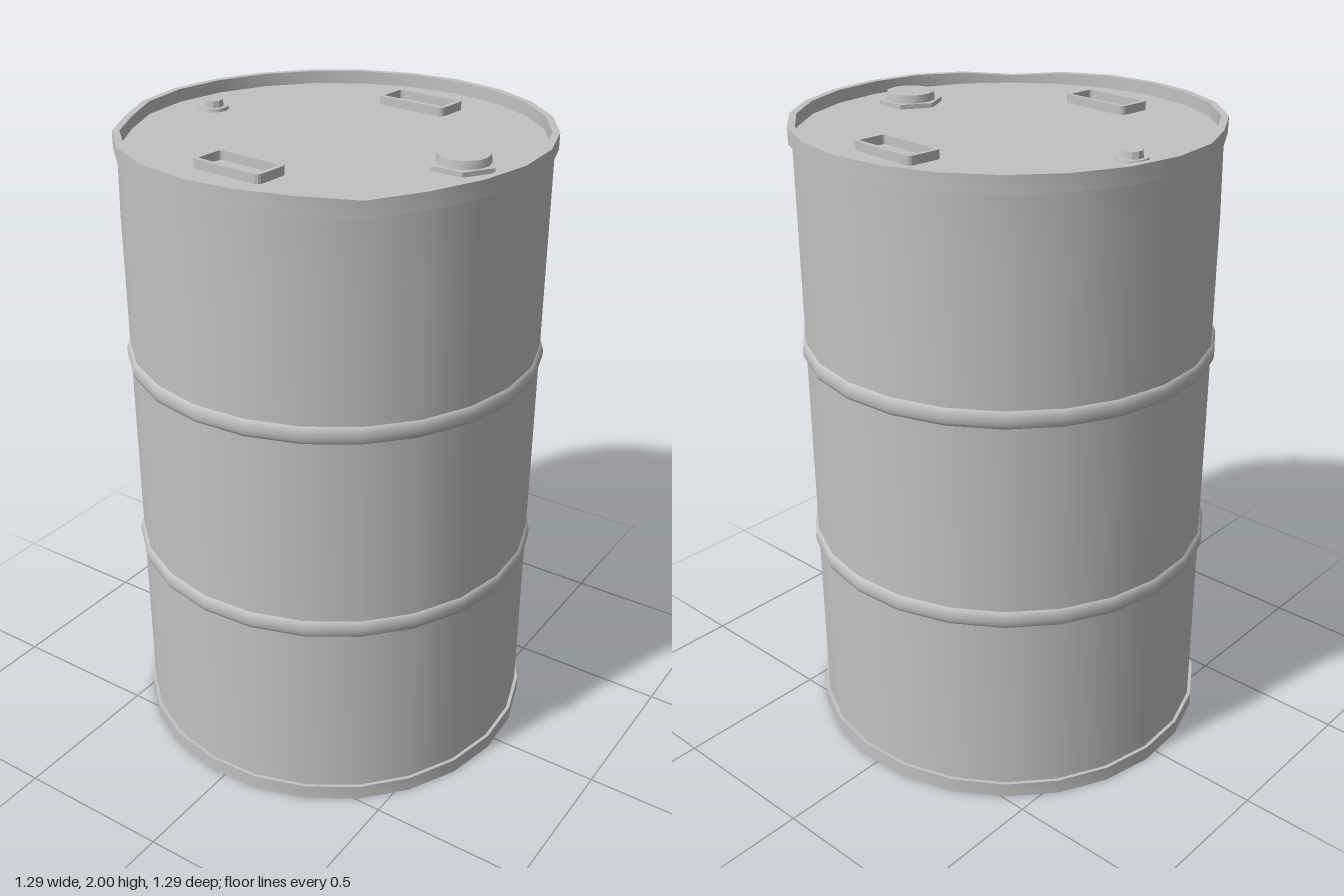
import * as THREE from 'three';
import { toCreasedNormals } from 'three/addons/utils/BufferGeometryUtils.js';

const SIDES = 24;
const START = THREE.MathUtils.degToRad(10.5);
const LID_Y = 1.96;

export function createModel() {
  const drum = new THREE.Group();
  drum.name = 'drum';
  const steel = new THREE.MeshStandardMaterial({ color: 0xc2c2c2 });
  steel.name = 'grey steel';

  function add(parent, name, geometry) {
    const mesh = new THREE.Mesh(geometry, steel);
    mesh.name = name;
    parent.add(mesh);
    return mesh;
  }

  // Profiles run counter-clockwise: up the outside, down the inside
  function lathe(profile) {
    const points = profile.map(([r, y]) => new THREE.Vector2(r, y));
    return new THREE.LatheGeometry(points, SIDES, START);
  }

  // Two knocks in the upper rim: one pushed down, one pushed in
  function dent(geometry) {
    const p = geometry.attributes.position;
    const knock = (angle, centre) => {
      const d = (angle - THREE.MathUtils.degToRad(centre)) / 0.23;
      return Math.exp(-d * d);
    };
    for (let i = 0; i < p.count; i++) {
      const x = p.getX(i), y = p.getY(i), z = p.getZ(i);
      if (y < 1.9) continue;
      const angle = Math.atan2(x, z);
      const inward = 1 - 0.025 * knock(angle, -64.5) - 0.006 * knock(angle, 40.5);
      p.setXYZ(i, x * inward, y - 0.016 * knock(angle, 40.5) - 0.004 * knock(angle, -64.5), z * inward);
    }
    return geometry;
  }

  // Shell and the two rolled hoops
  add(drum, 'shell', toCreasedNormals(dent(lathe([[0.637, 0.04], [0.637, 1.75], [0.637, 1.955]])), 0.6));
  for (const y of [0.657, 1.31]) {
    const hoop = [];
    for (let i = 0; i <= 6; i++) {
      const a = (i / 6) * Math.PI;
      hoop.push([0.636 + 0.012 * Math.sin(a), y - 0.028 * Math.cos(a)]);
    }
    add(drum, 'hoop', lathe(hoop));
  }

  // Rims, base and recessed lid
  add(drum, 'topRim', toCreasedNormals(dent(lathe([
    [0.635, 1.95], [0.648, 1.95], [0.648, 2], [0.626, 2], [0.626, 1.95],
  ])), 0.6));
  add(drum, 'bottomRim', toCreasedNormals(lathe([
    [0, 0], [0.648, 0], [0.648, 0.048], [0.635, 0.048],
  ]), 0.6));
  add(drum, 'lid', lathe([[0.63, LID_Y], [0, LID_Y]]));

  // Screw plugs: a low flange with a cap standing on it
  function plug(name, x, z, flange, cap) {
    const group = new THREE.Group();
    group.name = name;
    group.position.set(x, LID_Y, z);
    drum.add(group);
    const parts = [['flange', flange], ['cap', cap]];
    for (const [part, { r, top, h, sides, turn = 0 }] of parts) {
      const g = new THREE.CylinderGeometry(top, r, h, sides, 1, false, turn);
      g.translate(0, h / 2, 0);
      add(group, part, toCreasedNormals(g, 0.6));
    }
  }
  plug('largePlug', 0.45, 0.038,
    { r: 0.1, top: 0.1, h: 0.014, sides: 6, turn: Math.PI / 2 - 0.05 },
    { r: 0.08, top: 0.075, h: 0.038, sides: 12 });
  plug('smallPlug', -0.487, -0.045,
    { r: 0.048, top: 0.046, h: 0.01, sides: 12 },
    { r: 0.034, top: 0.03, h: 0.03, sides: 10 });

  // Rounded rectangular handle frames
  function roundedRect(path, w, h, r) {
    const x = w / 2, y = h / 2;
    path.moveTo(-x + r, -y);
    path.lineTo(x - r, -y);
    path.quadraticCurveTo(x, -y, x, -y + r);
    path.lineTo(x, y - r);
    path.quadraticCurveTo(x, y, x - r, y);
    path.lineTo(-x + r, y);
    path.quadraticCurveTo(-x, y, -x, y - r);
    path.lineTo(-x, -y + r);
    path.quadraticCurveTo(-x, -y, -x + r, -y);
    return path;
  }
  const outline = roundedRect(new THREE.Shape(), 0.246, 0.118, 0.022);
  outline.holes.push(roundedRect(new THREE.Path(), 0.216, 0.09, 0.012));
  const frame = new THREE.ExtrudeGeometry(outline, { depth: 0.027, bevelEnabled: false, curveSegments: 4 });
  frame.rotateX(-Math.PI / 2);
  for (const [x, z] of [[0.036, -0.425], [-0.038, 0.413]]) {
    const mesh = add(drum, 'handleFrame', frame);
    mesh.position.set(x, LID_Y, z);
    mesh.rotation.y = -0.08;
  }

  return drum;
}
